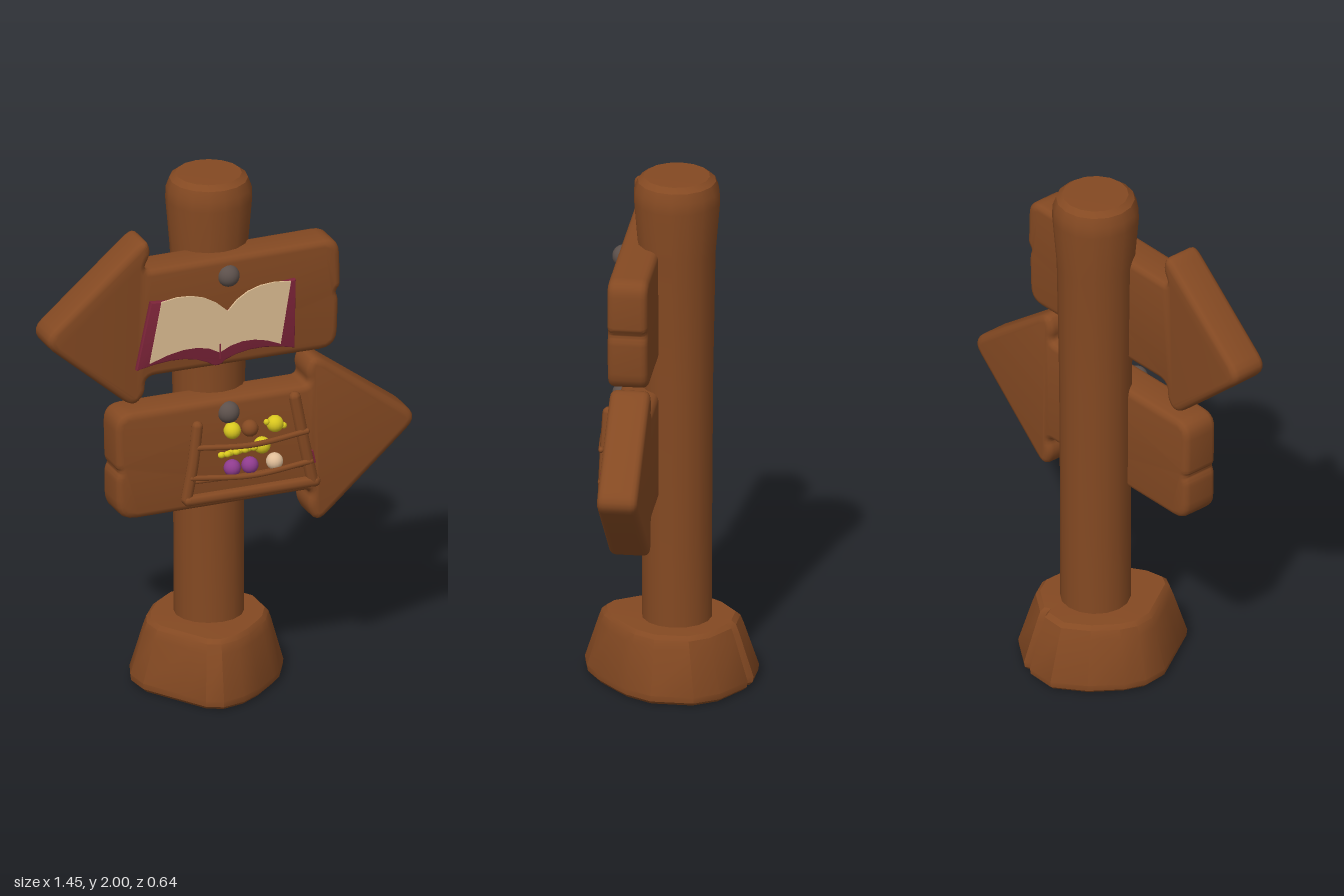
import * as THREE from 'three';
import { toCreasedNormals } from 'three/addons/utils/BufferGeometryUtils.js';

const mat = (name, color) => {
  const m = new THREE.MeshStandardMaterial({ color });
  m.name = name;
  return m;
};

export function createModel() {
  const wood = mat('wood', 0x844922);
  const maroon = mat('maroon cover', 0x7d2439);
  const paper = mat('paper', 0xdcbc92);
  const iron = mat('iron', 0x5c504b);
  const yellow = mat('yellow fruit', 0xd9c71e);
  const purple = mat('purple fruit', 0x8f3c8e);
  const cream = mat('cream fruit', 0xe0bd97);

  const model = new THREE.Group();
  model.name = 'signpost';
  const add = (name, geo, material, parent = model) => {
    const mesh = new THREE.Mesh(geo, material);
    mesh.name = name;
    parent.add(mesh);
    return mesh;
  };
  const group = (name) => {
    const g = new THREE.Group();
    g.name = name;
    model.add(g);
    return g;
  };

  // Closed shape from corners [x, y, radius], each rounded by a quadratic curve
  const roundedShape = (corners) => {
    const s = new THREE.Shape();
    const n = corners.length;
    corners.forEach(([x, y, r], i) => {
      const p = new THREE.Vector2(x, y);
      const toward = (c) => {
        const d = new THREE.Vector2(c[0], c[1]).sub(p);
        return p.clone().addScaledVector(d, Math.min(r / d.length(), 0.48));
      };
      const a = toward(corners[(i + n - 1) % n]);
      const b = toward(corners[(i + 1) % n]);
      if (i === 0) s.moveTo(a.x, a.y);
      else s.lineTo(a.x, a.y);
      s.quadraticCurveTo(x, y, b.x, b.y);
    });
    s.closePath();
    return s;
  };

  // Slab between two depths with softened edges
  const slab = (shape, z0, z1, bevel) => {
    const g = new THREE.ExtrudeGeometry(shape, {
      depth: z1 - z0 - 2 * bevel, bevelEnabled: bevel > 0, bevelThickness: bevel,
      bevelSize: bevel, bevelOffset: -bevel, bevelSegments: 3, curveSegments: 5,
    });
    g.translate(0, 0, z0 + bevel);
    return toCreasedNormals(g, 0.7);
  };

  // Stump base: an irregular footprint lofted upward
  const foot = [
    [-0.09, 0.32], [-0.15, 0.29], [-0.2, 0.21], [-0.3, 0.05], [-0.31, -0.05], [-0.28, -0.13],
    [-0.2, -0.24], [-0.09, -0.325], [0.03, -0.32], [0.05, -0.29], [0.08, -0.305], [0.21, -0.22],
    [0.265, -0.13], [0.265, 0.03], [0.21, 0.13], [0.17, 0.17], [0.08, 0.25], [0, 0.3],
  ];
  const rings = [[0, 0.95], [0.012, 0.99], [0.035, 1], [0.2, 0.835], [0.235, 0.795], [0.25, 0.74]];
  const pos = [];
  const idx = [];
  const n = foot.length;
  for (const [y, k] of rings) for (const [x, z] of foot) pos.push(-0.01 + (x + 0.01) * k, y, z * k);
  for (let j = 0; j < rings.length - 1; j++) {
    for (let i = 0; i < n; i++) {
      const a = j * n + i, b = j * n + (i + 1) % n;
      idx.push(a, a + n, b, b, a + n, b + n);
    }
  }
  const bottom = pos.length / 3;
  pos.push(-0.01, 0, 0, -0.01, 0.255, 0);
  const lastRing = (rings.length - 1) * n;
  for (let i = 0; i < n; i++) {
    const k = (i + 1) % n;
    idx.push(bottom, i, k, bottom + 1, lastRing + k, lastRing + i);
  }
  const baseGeo = new THREE.BufferGeometry();
  baseGeo.setAttribute('position', new THREE.Float32BufferAttribute(pos, 3));
  baseGeo.setIndex(idx);
  add('stumpBase', toCreasedNormals(baseGeo, 0.5), wood);

  // Post, flaring to a chamfered top
  const profile = [
    [0.13, 0.15], [0.13, 0.6], [0.134, 1.2], [0.143, 1.7], [0.16, 1.9],
    [0.158, 1.945], [0.145, 1.98], [0.122, 1.998], [0, 2],
  ].map(([r, y]) => new THREE.Vector2(r, y));
  const post = add('post', toCreasedNormals(new THREE.LatheGeometry(profile, 16), 0.5), wood);
  post.position.set(-0.006, 0, -0.032);

  // Arrow boards
  add('upperArrowBoard', slab(roundedShape([
    [-0.75, 1.51, 0.07], [-0.335, 1.865, 0.06], [-0.31, 1.805, 0.03], [-0.345, 1.735, 0.03],
    [0.435, 1.74, 0.06], [0.44, 1.55, 0.02], [0.42, 1.53, 0.02], [0.432, 1.5, 0.02],
    [0.425, 1.305, 0.07], [-0.335, 1.31, 0.04], [-0.335, 1.24, 0.04], [-0.385, 1.195, 0.05],
  ]), 0.02, 0.17, 0.025), wood);
  add('lowerArrowBoard', slab(roundedShape([
    [0.755, 0.98, 0.07], [0.335, 1.29, 0.06], [0.3, 1.235, 0.035], [0.315, 1.172, 0.03],
    [-0.455, 1.175, 0.07], [-0.45, 0.96, 0.02], [-0.437, 0.945, 0.02], [-0.45, 0.92, 0.02],
    [-0.45, 0.75, 0.08], [0.325, 0.752, 0.03], [0.305, 0.69, 0.035], [0.345, 0.61, 0.06],
  ]), 0.02, 0.17, 0.025), wood);

  // Nail heads
  for (const y of [1.665, 1.12]) {
    add('nailHead', new THREE.SphereGeometry(0.042, 20, 14), iron).position.set(-0.01, y, 0.166);
  }

  // Open book
  const book = group('openBook');
  const cover = new THREE.Shape();
  cover.moveTo(-0.325, 1.615);
  cover.lineTo(-0.382, 1.352);
  cover.quadraticCurveTo(-0.2, 1.395, -0.1, 1.34);
  cover.quadraticCurveTo(-0.06, 1.305, -0.03, 1.34);
  cover.quadraticCurveTo(0.08, 1.39, 0.245, 1.343);
  cover.lineTo(0.25, 1.615);
  cover.lineTo(0.19, 1.61);
  cover.quadraticCurveTo(0.05, 1.6, -0.025, 1.52);
  cover.quadraticCurveTo(-0.13, 1.61, -0.27, 1.61);
  cover.closePath();
  add('bookCover', slab(cover, 0.165, 0.189, 0.004), maroon, book);
  const pages = new THREE.Shape();
  pages.moveTo(-0.285, 1.612);
  pages.lineTo(-0.332, 1.375);
  pages.quadraticCurveTo(-0.15, 1.445, -0.055, 1.375);
  pages.quadraticCurveTo(0.05, 1.44, 0.187, 1.37);
  pages.lineTo(0.228, 1.613);
  pages.quadraticCurveTo(0.06, 1.645, -0.022, 1.535);
  pages.quadraticCurveTo(-0.13, 1.65, -0.285, 1.612);
  add('bookPages', slab(pages, 0.187, 0.194, 0), paper, book);
  const crease = add('pageCrease', new THREE.BoxGeometry(0.006, 0.06, 0.004), maroon, book);
  crease.position.set(-0.054, 1.38, 0.193);

  // Fruit rack: side posts, sill and sagging rails
  const rack = group('fruitRack');
  const rod = (name, pts, r) => {
    const path = new THREE.CatmullRomCurve3(pts.map((p) => new THREE.Vector3(...p)));
    add(name, new THREE.TubeGeometry(path, 16, r, 8), wood, rack);
    for (const p of [pts[0], pts[pts.length - 1]]) {
      add(name + 'End', new THREE.SphereGeometry(r, 8, 6), wood, rack).position.set(...p);
    }
  };
  rod('rackLeftPost', [[-0.185, 0.81, 0.19], [-0.16, 0.95, 0.192], [-0.142, 1.09, 0.188]], 0.022);
  rod('rackRightPost', [[0.31, 0.81, 0.198], [0.275, 0.98, 0.195], [0.245, 1.145, 0.188]], 0.023);
  rod('rackSill', [[-0.18, 0.805, 0.198], [0.06, 0.805, 0.2], [0.32, 0.805, 0.2]], 0.022);
  rod('rackUpperRail', [[-0.145, 1.012, 0.205], [0.06, 1.0, 0.226], [0.285, 1.012, 0.21]], 0.011);
  rod('rackLowerRail', [[-0.17, 0.895, 0.205], [0.06, 0.878, 0.226], [0.3, 0.89, 0.21]], 0.011);
  rod('rackBackRail', [[-0.16, 0.867, 0.178], [0.06, 0.862, 0.178], [0.28, 0.867, 0.178]], 0.009);
  const patch = add('rackSidePatch', new THREE.BoxGeometry(0.006, 0.05, 0.025), maroon, rack);
  patch.position.set(0.312, 0.905, 0.198);
  patch.rotation.z = 0.22;

  // Round fruit in two rows
  const fruits = [
    [-0.005, 1.055, yellow], [0.065, 1.053, wood], [0.165, 1.055, yellow], [0.113, 0.978, yellow],
    [-0.005, 0.906, purple], [0.065, 0.906, purple], [0.163, 0.906, cream],
  ];
  for (const [x, y, m] of fruits) {
    add('roundFruit', new THREE.SphereGeometry(0.032, 16, 12), m, rack).position.set(x, y, 0.192);
  }
  // Small fruit scattered along the middle
  for (let i = 0; i < 9; i++) {
    const berry = add('smallFruit', new THREE.SphereGeometry(0.012, 10, 8), yellow, rack);
    berry.position.set(-0.05 + i * 0.0175, 0.967 + 0.012 * (i / 8) + 0.005 * (i % 2), 0.2 + 0.014 * (i % 2));
    berry.scale.x = 1.3;
  }
  // Pointed tips on the yellow fruit at the right
  for (const s of [-1, 1]) {
    const tip = add('fruitTip', new THREE.SphereGeometry(0.012, 8, 6), yellow, rack);
    tip.position.set(0.165 + 0.034 * s, 1.055 - 0.012 * s, 0.194);
  }
  return model;
}
